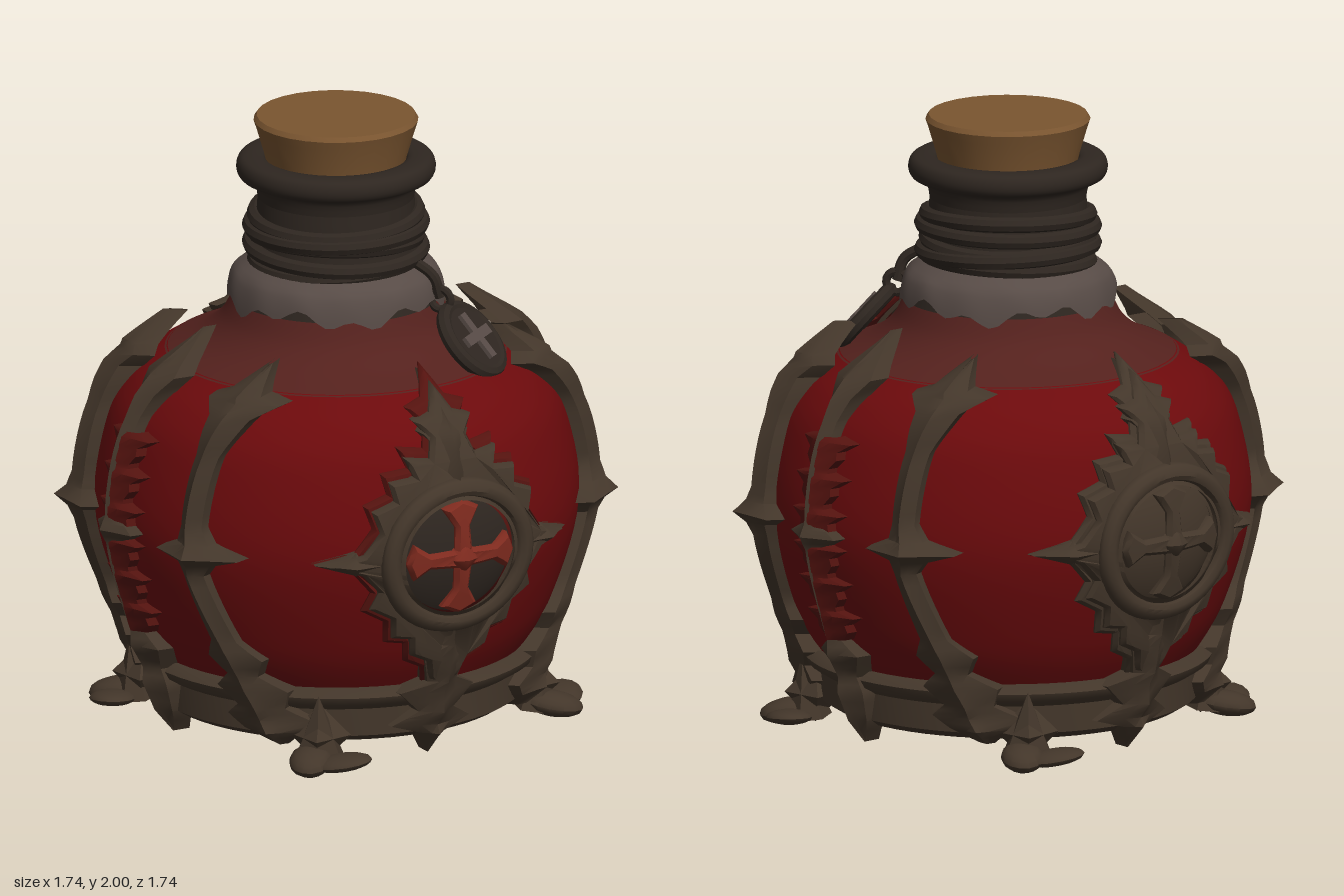
import * as THREE from 'three';
import { toCreasedNormals } from 'three/addons/utils/BufferGeometryUtils.js';

const V2 = (x, y) => new THREE.Vector2(x, y);
const mats = {};
const mat = (color) => (mats[color] ??= new THREE.MeshStandardMaterial({ color, side: THREE.DoubleSide }));
const GLASS = 0x6c0a0c, HALO = 0x55130f, BRONZE = 0x43362a, DARK = 0x2e2620, SMOKE = 0x54211d, GREY = 0x574b46, CORK = 0x7a5530;

function add(parent, name, geo, color, crease = 0.7) {
  const mesh = new THREE.Mesh(crease ? toCreasedNormals(geo, crease) : geo, mat(color));
  mesh.name = name;
  parent.add(mesh);
  return mesh;
}
const smooth = (pts, n = 40) => new THREE.SplineCurve(pts.map(([x, y]) => V2(x, y))).getPoints(n);
const lathe = (pts, seg = 64) => new THREE.LatheGeometry(pts, seg);
const sharp = (pts) => pts.map(([x, y]) => V2(x, y));

// Radius that the metalwork follows at height y
const guide = smooth([[0.57, -0.02], [0.61, 0.15], [0.64, 0.25], [0.71, 0.42], [0.785, 0.72], [0.75, 1.0], [0.64, 1.2], [0.51, 1.33], [0.42, 1.42]], 80);
function radiusAt(y) {
  const i = Math.max(1, guide.findIndex((p) => p.y >= y));
  const a = guide[i - 1], b = guide[i];
  return THREE.MathUtils.lerp(a.x, b.x, THREE.MathUtils.clamp((y - a.y) / (b.y - a.y), 0, 1));
}

// Bend flat relief (x, y, height z) round the bottle
function wrap(geo) {
  const p = geo.attributes.position;
  for (let i = 0; i < p.count; i++) {
    const r = radiusAt(p.getY(i)), a = Math.asin(THREE.MathUtils.clamp(p.getX(i) / r, -1, 1));
    p.setXYZ(i, (r + p.getZ(i)) * Math.sin(a), p.getY(i), (r + p.getZ(i)) * Math.cos(a));
  }
  geo.computeVertexNormals();
  return geo;
}

// Ridged strip from rows of [y, half width, height, sideways shift], bottom to top
function strip(rows, cx = 0, mirror = 1) {
  const across = [[-1, -0.04], [-0.85, 0.45], [-0.3, 0.75], [0, 1], [0.3, 0.75], [0.85, 0.45], [1, -0.04]];
  const pos = [], idx = [], n = across.length;
  const emit = ([y, w, d, shift = 0]) => across.forEach(([u, h]) => pos.push(mirror * (cx + shift) + u * w, y, h < 0 ? h : h * d));
  rows.forEach((b, k) => {
    if (!k) return emit(b);
    const a = rows[k - 1], steps = Math.ceil((b[0] - a[0]) / 0.04);
    for (let s = 1; s <= steps; s++) emit(a.map((v, j) => v + ((b[j] - v) * s) / steps));
  });
  for (let r = 0; r < pos.length / 3 / n - 1; r++)
    for (let c = 0; c < n - 1; c++) {
      const a = r * n + c;
      idx.push(a, a + 1, a + n + 1, a, a + n + 1, a + n);
    }
  const g = new THREE.BufferGeometry();
  g.setAttribute('position', new THREE.Float32BufferAttribute(pos, 3));
  g.setIndex(idx);
  return wrap(g);
}

// Extruded plate mirrored from its right-hand outline, optionally with a round hole
function plate(half, depth, hole, scale = 1, cy = 0.735) {
  const full = [...half, ...half.slice(1, -1).reverse().map(([x, y]) => [-x, y])].map(([x, y]) => V2(x * scale, cy + (y - cy) * scale));
  const pts = [];
  full.forEach((p, i) => {
    const q = full[(i + 1) % full.length], n = Math.ceil(p.distanceTo(q) / 0.05);
    for (let k = 0; k < n; k++) pts.push(p.clone().lerp(q, k / n));
  });
  const shape = new THREE.Shape(pts);
  if (hole) shape.holes.push(new THREE.Path().absarc(0, cy, hole, 0, Math.PI * 2, true));
  const g = new THREE.ExtrudeGeometry(shape, { depth, bevelSize: 0.012, bevelOffset: -0.012, bevelThickness: 0.015, bevelSegments: 1, curveSegments: 32 });
  return wrap(g);
}

const frameHalf = [[0, 1.27], [0.04, 1.19], [0.1, 1.17], [0.06, 1.12], [0.08, 1.06], [0.16, 1.07], [0.14, 1.01], [0.22, 1.0],
  [0.21, 0.94], [0.28, 0.91], [0.26, 0.84], [0.31, 0.77], [0.42, 0.735], [0.31, 0.7], [0.26, 0.64], [0.28, 0.58], [0.21, 0.54],
  [0.2, 0.47], [0.14, 0.46], [0.13, 0.4], [0.07, 0.37], [0.05, 0.3], [0, 0.25]];
const crossHalf = [[0, 0.93], [0.06, 0.9], [0.025, 0.84], [0.03, 0.765], [0.11, 0.76], [0.16, 0.795], [0.185, 0.735],
  [0.16, 0.675], [0.11, 0.71], [0.03, 0.705], [0.025, 0.63], [0.06, 0.57], [0, 0.54]];

// Diamond badge on front and back
function badge(name, haloColor, discColor, crossColor) {
  const g = new THREE.Group();
  g.name = name;
  add(g, 'thornHalo', plate(frameHalf, 0.01, 0.2, 1.08), haloColor);
  add(g, 'diamondFrame', plate(frameHalf, 0.035, 0.2), BRONZE);
  add(g, 'disc', wrap(new THREE.SphereGeometry(1, 32, 20).scale(0.22, 0.22, 0.04).translate(0, 0.735, 0)), discColor);
  add(g, 'ring', wrap(new THREE.TorusGeometry(0.23, 0.03, 10, 48).translate(0, 0.735, 0.045)), BRONZE);
  add(g, 'cross', plate(crossHalf, 0.045), crossColor);
  add(g, 'crossBoss', wrap(new THREE.OctahedronGeometry(0.05, 1).translate(0, 0.735, 0.035)), crossColor);
  add(g, 'topSpear', strip([[0.97, 0.03, 0.06], [1.08, 0.05, 0.07], [1.13, 0.09, 0.07], [1.17, 0.035, 0.06], [1.29, 0, 0.02]]), BRONZE);
  add(g, 'lowerSpear', strip([[0.02, 0, 0.02], [0.1, 0.05, 0.08], [0.13, 0.16, 0.06], [0.18, 0.07, 0.09], [0.25, 0.15, 0.07],
    [0.29, 0.06, 0.08], [0.38, 0.09, 0.06], [0.42, 0.03, 0.06], [0.5, 0.02, 0.05]]), BRONZE);
  for (const s of [-1, 1]) add(g, 'sideSpike', strip([[0.695, 0, 0.02], [0.735, 0.13, 0.075], [0.775, 0, 0.02]], 0.33, s), BRONZE);
  return g;
}

const postRows = [[0.07, 0.02, 0.04, 0.07], [0.12, 0.08, 0.09, 0.06], [0.16, 0.12, 0.07, 0.05], [0.2, 0.07, 0.08, 0.05], [0.26, 0.11, 0.07, 0.04],
  [0.31, 0.05, 0.06, 0.04], [0.37, 0.09, 0.06, 0.04], [0.43, 0.045, 0.055, 0.03], [0.66, 0.04, 0.065, 0], [0.7, 0.06, 0.08, 0.01],
  [0.735, 0.15, 0.12, 0.02], [0.77, 0.06, 0.08, 0.01], [0.82, 0.04, 0.065, 0], [1.05, 0.042, 0.065, 0], [1.12, 0.06, 0.08, 0],
  [1.17, 0.07, 0.085, 0], [1.215, 0.12, 0.065, 0], [1.235, 0.06, 0.075, -0.01], [1.32, 0.005, 0.04, -0.02]];
const spineRows = [[0.02, 0, 0.02], [0.1, 0.05, 0.07], [0.2, 0.07, 0.09], [0.25, 0.05, 0.07], [0.33, 0.1, 0.08], [0.38, 0.03, 0.06],
  [0.69, 0.03, 0.065], [0.735, 0.12, 0.085], [0.78, 0.03, 0.065], [1.1, 0.03, 0.07], [1.17, 0.05, 0.08], [1.23, 0.09, 0.07], [1.36, 0, 0.01]];
// Vertebra-like lumps: each flares to hooked tips, then pinches in
const thornRows = Array.from({ length: 6 }, (_, i) => [[0, 0.05], [0.03, 0.08], [0.055, 0.075], [0.085, 0.13], [0.1, 0.05]]
  .map(([y, w]) => [0.38 + i * 0.115 + y, w, 0.06])).flat();

// Posts and thorny spine on one flank
function flank(name) {
  const g = new THREE.Group();
  g.name = name;
  for (const s of [-1, 1]) add(g, 'post', strip(postRows, 0.34, s), BRONZE);
  add(g, 'thorns', strip(thornRows), HALO);
  add(g, 'spine', strip(spineRows), BRONZE);
  return g;
}

// Hanging charm with a cross
function charm() {
  const g = new THREE.Group();
  g.name = 'charm';
  add(g, 'charmDisc', new THREE.CylinderGeometry(0.12, 0.12, 0.04, 32).rotateX(Math.PI / 2), DARK);
  add(g, 'charmRim', new THREE.TorusGeometry(0.122, 0.025, 8, 32), DARK);
  for (const a of [0, Math.PI / 2]) add(g, 'charmCross', new THREE.BoxGeometry(0.035, 0.17, 0.03).translate(0, 0, 0.018).rotateZ(a), GREY);
  add(g, 'charmLoop', new THREE.TorusGeometry(0.035, 0.014, 8, 16).rotateY(Math.PI / 2).translate(0, 0.165, 0), DARK);
  g.position.set(0.285, 1.3, 0.38);
  g.rotation.set(-0.72, 0.65, 0, 'YXZ');
  return g;
}

export function createModel() {
  const model = new THREE.Group();
  model.name = 'potionBottle';

  // Glass
  add(model, 'base', lathe(smooth([[0, 0.015], [0.25, 0.035], [0.4, 0.065], [0.49, 0.1]], 12)), DARK, 0);
  add(model, 'glassBody', lathe(smooth([[0.49, 0.1], [0.6, 0.24], [0.7, 0.42], [0.78, 0.72], [0.74, 1.0], [0.66, 1.14], [0.54, 1.225]])), GLASS, 0);
  add(model, 'shoulder', lathe(smooth([[0.55, 1.22], [0.44, 1.27], [0.37, 1.33], [0.33, 1.41]], 16)), SMOKE, 0);
  add(model, 'neck', lathe(smooth([[0.335, 1.4], [0.31, 1.48], [0.265, 1.54], [0.255, 1.68], [0.25, 1.76]], 16)), DARK, 0);

  // Ragged collar below the neck wrapping
  const collar = lathe(smooth([[0.35, 1.37], [0.342, 1.43], [0.32, 1.49], [0.265, 1.53]], 8), 72);
  const cp = collar.attributes.position;
  for (let i = 0; i < cp.count; i++) {
    const a = Math.atan2(cp.getX(i), cp.getZ(i)), t = Math.max(0, (1.5 - cp.getY(i)) / 0.13);
    cp.setY(i, cp.getY(i) + t * 0.035 * (1 + Math.sin(a * 9) * Math.cos(a * 4)));
  }
  collar.computeVertexNormals();
  add(model, 'collar', collar, GREY);

  // Cord wound round the neck
  for (let i = 0; i < 5; i++) {
    const cord = add(model, 'neckCord', new THREE.TorusGeometry(0.262 + (i % 2) * 0.015, 0.025, 8, 48).rotateX(Math.PI / 2), DARK);
    cord.position.y = 1.53 + i * 0.036;
    cord.rotation.set(Math.sin(i * 2.1) * 0.06, 0, Math.cos(i * 1.7) * 0.06);
  }

  // Lip and cork
  add(model, 'lip', lathe(smooth([[0.25, 1.72], [0.265, 1.78], [0.31, 1.8], [0.32, 1.835], [0.3, 1.865], [0.235, 1.865], [0.22, 1.83]], 24)), DARK, 0);
  add(model, 'cork', lathe(sharp([[0, 1.8], [0.215, 1.8], [0.23, 1.87], [0.255, 1.955], [0.265, 1.985], [0.255, 2], [0, 2]]), 28), CORK, 0.5);

  // Metal base band
  add(model, 'baseBand', lathe(sharp([[0.51, 0.11], [0.57, 0.075], [0.61, 0.1], [0.61, 0.19], [0.65, 0.215], [0.66, 0.24], [0.63, 0.265], [0.57, 0.265]])), BRONZE);

  // Four clawed feet, each with a flat leaf swept to one side
  for (let q = 0; q < 4; q++) {
    const foot = new THREE.Group();
    foot.name = 'foot';
    add(foot, 'toe', new THREE.SphereGeometry(1, 14, 8).scale(0.07, 0.04, 0.1).rotateX(0.15).translate(0, 0.045, 0.7), BRONZE);
    add(foot, 'leaf', new THREE.SphereGeometry(1, 14, 8).scale(0.1, 0.025, 0.075).rotateZ(0.15).translate(0.1, 0.045, 0.71), BRONZE);
    add(foot, 'claw', new THREE.ConeGeometry(0.09, 0.22, 6).scale(1, 1, 0.8).rotateX(0.1).translate(0.02, 0.14, 0.65), BRONZE);
    add(foot, 'ankle', new THREE.OctahedronGeometry(0.1, 0).translate(0.02, 0.11, 0.62), BRONZE);
    foot.rotation.y = Math.PI / 4 + (q * Math.PI) / 2 + THREE.MathUtils.degToRad(9);
    model.add(foot);
  }

  // Badges and flank metalwork
  model.add(badge('frontBadge', HALO, DARK, 0x7e2a1e));
  const back = badge('backBadge', BRONZE, BRONZE, BRONZE);
  back.rotation.y = Math.PI;
  model.add(back);
  for (const [name, s] of [['leftFlank', 1], ['rightFlank', -1]]) {
    const f = flank(name);
    f.rotation.y = (s * Math.PI) / 2;
    model.add(f);
  }

  // Charm on its cord
  model.add(charm());
  const path = new THREE.CatmullRomCurve3([new THREE.Vector3(0.15, 1.55, 0.22), new THREE.Vector3(0.2, 1.5, 0.28), new THREE.Vector3(0.22, 1.43, 0.29)]);
  add(model, 'charmCord', new THREE.TubeGeometry(path, 12, 0.018, 8), DARK);
  return model;
}
